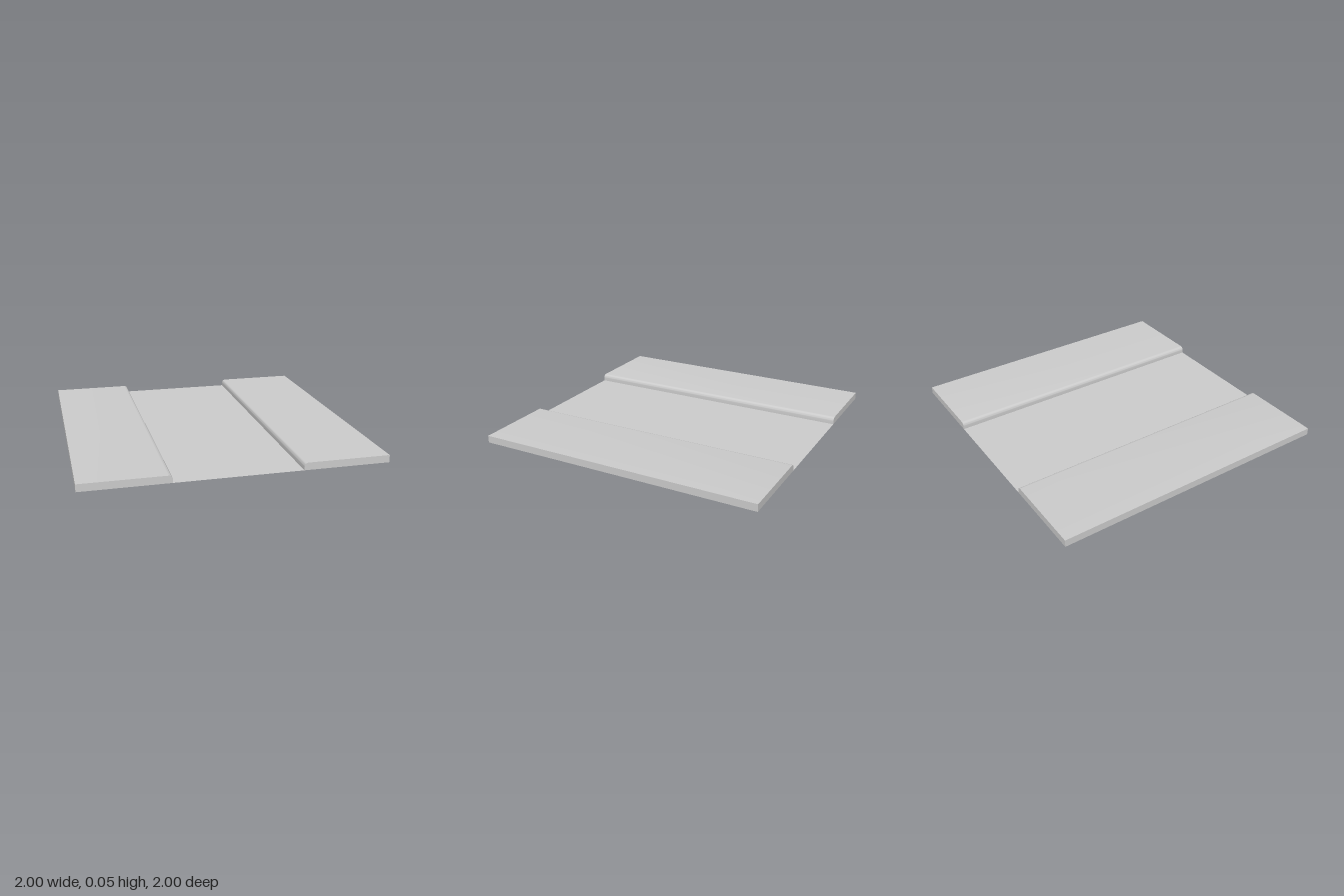
import * as THREE from 'three';
import { mergeGeometries, toCreasedNormals } from 'three/addons/utils/BufferGeometryUtils.js';

const HALF = 1;          // half the tile
const ROAD = 0.42;       // half the road width
const H = 0.05;          // kerb height
const R = 0.025;         // kerb rounding

const material = new THREE.MeshStandardMaterial({ color: 0xcccccc, side: THREE.DoubleSide });

function addMesh(parent, name, geometry) {
  const mesh = new THREE.Mesh(geometry, material);
  mesh.name = name;
  parent.add(mesh);
  return mesh;
}

// Cross-section from the outer foot over the top to the rounded kerb foot
function pavementProfile() {
  const points = [[-HALF, 0], [-HALF, H]];
  for (let i = 0; i <= 6; i++) {
    const a = (i / 6) * Math.PI / 2;
    points.push([-ROAD - R + R * Math.sin(a), H - R + R * Math.cos(a)]);
  }
  points.push([-ROAD, 0]);
  return points.map(([x, y]) => new THREE.Vector2(x, y));
}

// Hollow pavement: swept top and walls plus two end caps, open underneath
function pavementGeometry() {
  const profile = pavementProfile();
  const n = profile.length - 1;
  const sweep = new THREE.PlaneGeometry(1, 1, n, 1);
  const pos = sweep.attributes.position;
  for (let i = 0; i < pos.count; i++) {
    const p = profile[Math.round((pos.getX(i) + 0.5) * n)];
    pos.setXYZ(i, p.x, p.y, -2 * HALF * pos.getY(i));
  }
  const front = new THREE.ShapeGeometry(new THREE.Shape(profile)).translate(0, 0, HALF);
  const mirrored = profile.map((p) => new THREE.Vector2(-p.x, p.y));
  const back = new THREE.ShapeGeometry(new THREE.Shape(mirrored))
    .translate(0, 0, HALF).rotateY(Math.PI);
  return toCreasedNormals(mergeGeometries([sweep, front, back]), Math.PI / 6);
}

export function createModel() {
  const model = new THREE.Group();
  model.name = 'roadTile';

  // Road surface between the kerbs
  addMesh(model, 'road', new THREE.PlaneGeometry(2 * ROAD, 2 * HALF).rotateX(-Math.PI / 2));

  // Pavements on both sides
  const pavement = pavementGeometry();
  addMesh(model, 'rightPavement', pavement);
  addMesh(model, 'leftPavement', pavement).rotation.y = Math.PI;

  // Dashed centre line
  const dashes = new THREE.Group();
  dashes.name = 'centreLine';
  const dash = new THREE.PlaneGeometry(0.06, 0.14).rotateX(-Math.PI / 2);
  for (let i = 0; i < 8; i++) {
    addMesh(dashes, 'dash', dash).position.set(0, 0.001, 0.87 - i * 0.25);
  }
  model.add(dashes);

  return model;
}
